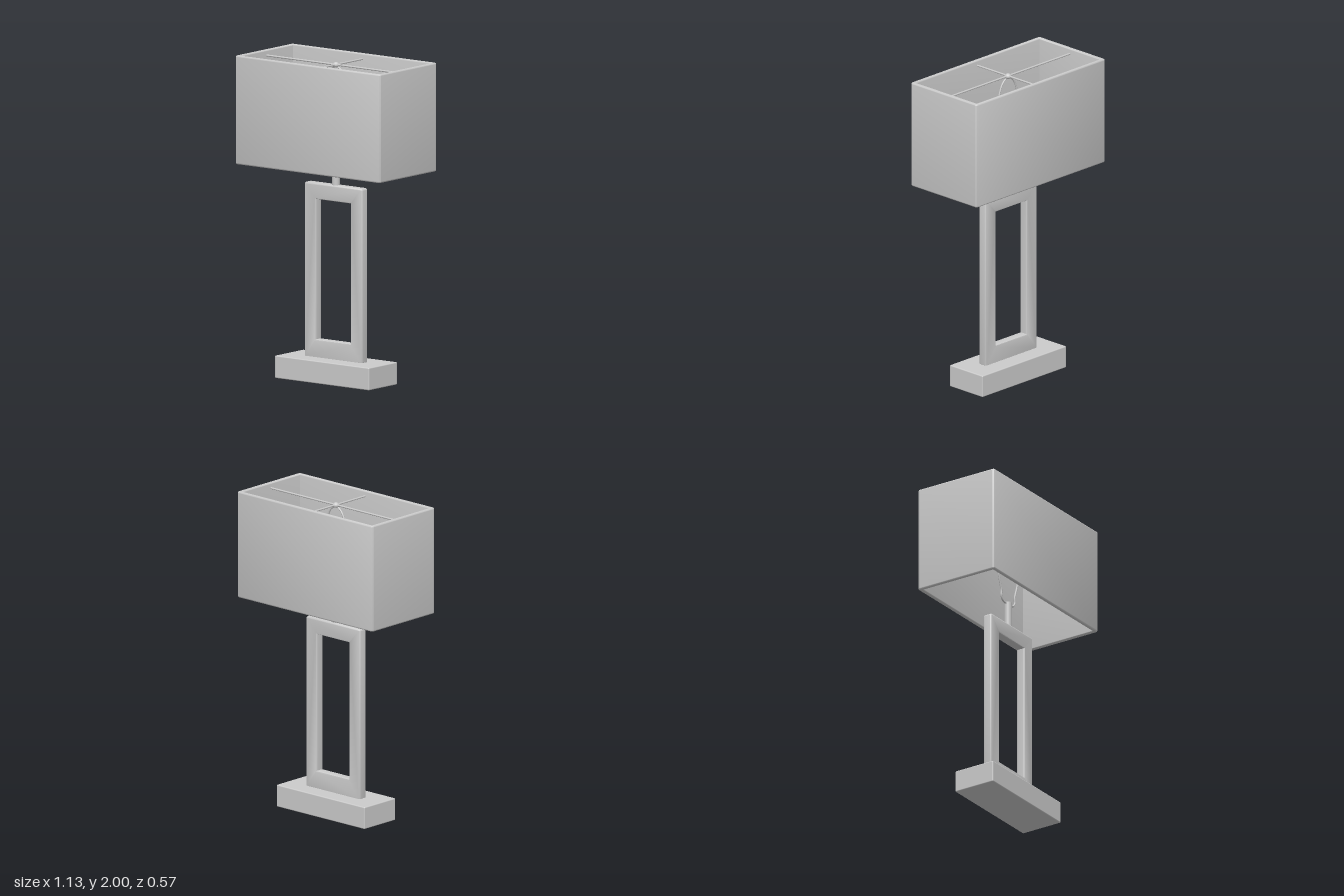
import * as THREE from 'three';
import { toCreasedNormals } from 'three/addons/utils/BufferGeometryUtils.js';
import { RoundedBoxGeometry } from 'three/addons/geometries/RoundedBoxGeometry.js';

const material = new THREE.MeshStandardMaterial({ color: 0xcccccc, side: THREE.DoubleSide });

// Traces a rectangle with rounded corners
function roundedRect(path, x0, x1, y0, y1, r) {
  path.absarc(x1 - r, y0 + r, r, -Math.PI / 2, 0);
  path.absarc(x1 - r, y1 - r, r, 0, Math.PI / 2);
  path.absarc(x0 + r, y1 - r, r, Math.PI / 2, Math.PI);
  path.absarc(x0 + r, y0 + r, r, Math.PI, Math.PI * 1.5);
  path.closePath();
  return path;
}

// Rectangular ring with softened edges, centred along z; outer and hole are [x0, x1, y0, y1]
function ring(outer, hole, depth, bevel, radius) {
  const grow = ([a, b, c, d], s) => [a - s, b + s, c - s, d + s];
  const shape = roundedRect(new THREE.Shape(), ...grow(outer, -bevel), radius);
  shape.holes.push(roundedRect(new THREE.Path(), ...grow(hole, bevel), radius));
  const geometry = new THREE.ExtrudeGeometry(shape, {
    depth: depth - 2 * bevel, bevelEnabled: true, bevelSize: bevel,
    bevelThickness: bevel, bevelSegments: 4, curveSegments: 4,
  });
  geometry.translate(0, 0, bevel - depth / 2);
  return toCreasedNormals(geometry, 0.7);
}

export function createModel() {
  const lamp = new THREE.Group();
  lamp.name = 'tableLamp';
  const add = (name, geometry, x = 0, y = 0, z = 0) => {
    const mesh = new THREE.Mesh(geometry, material);
    mesh.name = name;
    mesh.position.set(x, y, z);
    lamp.add(mesh);
    return mesh;
  };

  // Base block and open upright frame
  add('base', new RoundedBoxGeometry(0.735, 0.14, 0.28, 3, 0.007), 0, 0.07);
  add('uprightFrame', ring([-0.225, 0.225, 0.13, 1.22], [-0.135, 0.135, 0.25, 1.12], 0.06, 0.011, 0.004));

  // Short neck between the frame and the harp
  add('neck', new THREE.CylinderGeometry(0.024, 0.024, 0.17, 24), 0, 1.295);

  // Rectangular shade, open at top and bottom
  const shade = ring([-0.565, 0.565, -0.283, 0.283], [-0.541, 0.541, -0.259, 0.259], 0.675, 0.01, 0.005);
  shade.rotateX(-Math.PI / 2);
  add('shade', shade, 0, 1.6625);

  // Wire harp that carries the shade
  const half = [[0.05, 1.375], [0.072, 1.4], [0.072, 1.44], [0.1, 1.54], [0.105, 1.68], [0.085, 1.83], [0.045, 1.93]];
  const points = [
    [0, 1.372], ...half, [0, 1.955],
    ...half.map(([x, y]) => [-x, y]).reverse(),
  ].map(([x, y]) => new THREE.Vector3(x, y, 0));
  add('harp', new THREE.TubeGeometry(new THREE.CatmullRomCurve3(points, true), 96, 0.006, 8, true));

  // Crossed spider rods just below the upper rim
  const rodY = 1.965;
  add('longSpiderRod', new THREE.CylinderGeometry(0.006, 0.006, 1.1, 10), 0, rodY).rotation.z = Math.PI / 2;
  add('shortSpiderRod', new THREE.CylinderGeometry(0.006, 0.006, 0.535, 10), 0, rodY).rotation.x = Math.PI / 2;

  // Small finial over the crossing
  const finial = [[0, -0.014], [0.02, -0.012], [0.023, 0], [0.018, 0.009], [0.008, 0.015], [0, 0.017]];
  add('finial', new THREE.LatheGeometry(finial.map(([x, y]) => new THREE.Vector2(x, y)), 20), 0, rodY);

  return lamp;
}
